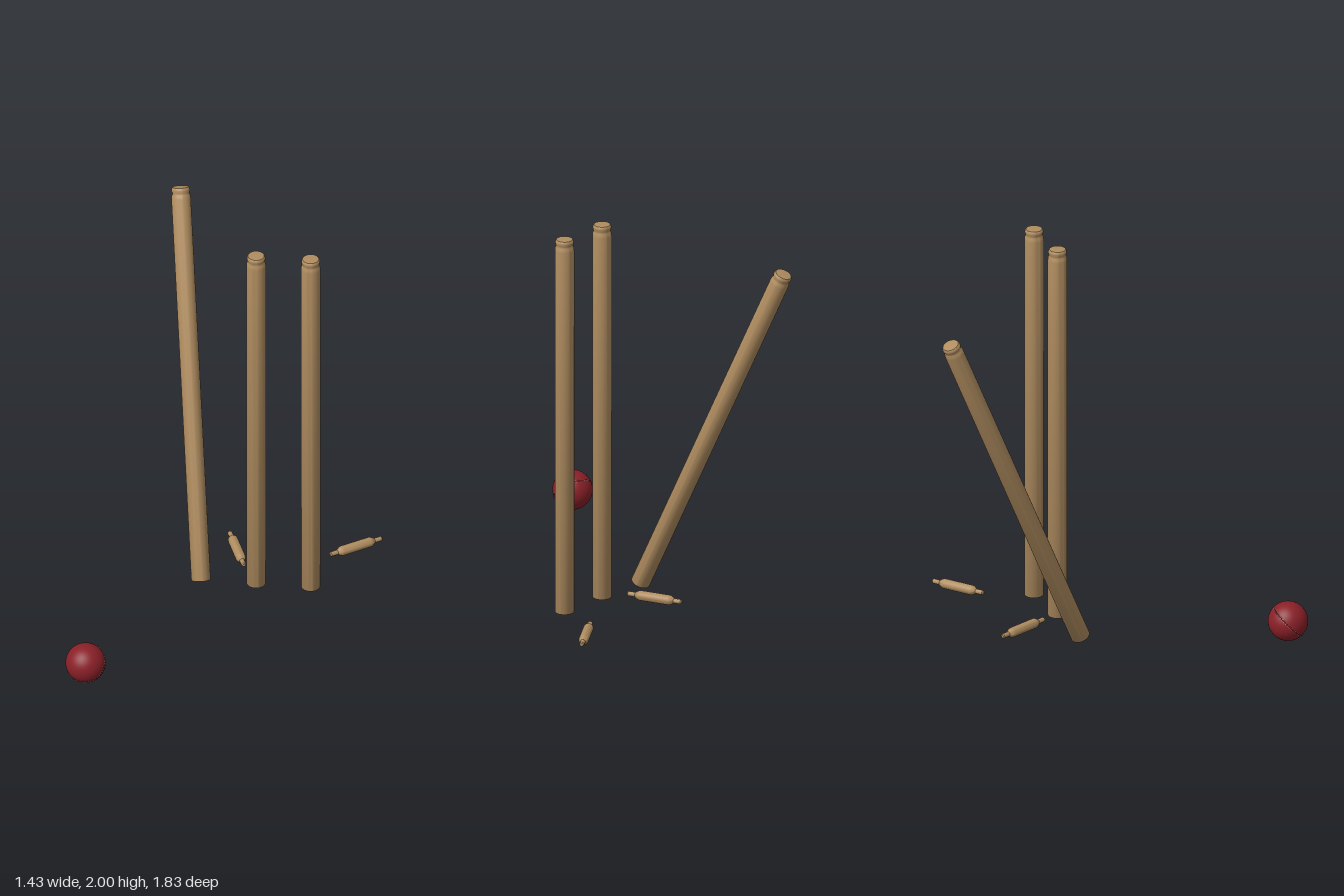
import * as THREE from 'three';
import { toCreasedNormals } from 'three/addons/utils/BufferGeometryUtils.js';

const wood = new THREE.MeshStandardMaterial({ color: 0xb08d60 });
const leather = new THREE.MeshStandardMaterial({ color: 0x8a2028 });
const thread = new THREE.MeshStandardMaterial({ color: 0xc8b8a0 });
const UP = new THREE.Vector3(0, 1, 0);

// Turned wooden part from [radius, height] pairs
function turned(profile, segments) {
  const points = profile.map(([r, y]) => new THREE.Vector2(r, y));
  return toCreasedNormals(new THREE.LatheGeometry(points, segments), 0.6);
}

// Place a part with its own y axis along a direction
function place(geometry, material, name, position, direction) {
  const mesh = new THREE.Mesh(geometry, material);
  mesh.name = name;
  mesh.position.set(...position);
  mesh.quaternion.setFromUnitVectors(UP, new THREE.Vector3(...direction).normalize());
  return mesh;
}

function createBall() {
  const ball = new THREE.Group();
  ball.name = 'ball';
  const body = new THREE.Mesh(new THREE.SphereGeometry(0.099, 48, 32), leather);
  body.name = 'ballBody';
  ball.add(body);

  // Raised seam around the equator
  const seam = new THREE.Mesh(new THREE.TorusGeometry(0.099, 0.0018, 8, 72), leather);
  seam.name = 'seam';
  seam.rotation.x = Math.PI / 2;
  ball.add(seam);

  // A row of stitches on each side of the seam
  const count = 48;
  const stitches = new THREE.InstancedMesh(new THREE.BoxGeometry(0.002, 0.0014, 0.006), thread, 1);
  for (const side of [-1, 1]) {
    for (let i = 0; i < count; i++) {
      const a = (i / count) * Math.PI * 2;
      const stitch = new THREE.Mesh(stitches.geometry, thread);
      stitch.name = 'stitch';
      stitch.position.set(Math.cos(a) * 0.099, side * 0.004, Math.sin(a) * 0.099);
      stitch.rotation.y = -a;
      ball.add(stitch);
    }
  }
  ball.position.set(-0.62, 0.125, 0.82);
  ball.quaternion.setFromUnitVectors(UP, new THREE.Vector3(-0.2, 0.69, 0.69).normalize());
  return ball;
}

export function createModel() {
  const model = new THREE.Group();
  model.name = 'brokenWicket';

  // Stumps: long shaft, grooved neck and rounded head
  const stump = turned([
    [0, 0], [0.046, 0], [0.048, 0.003], [0.048, 1.915], [0.046, 1.93], [0.042, 1.938],
    [0.042, 1.945], [0.045, 1.951], [0.046, 1.957], [0.045, 1.965], [0.04, 1.972], [0, 1.975],
  ], 32);
  model.add(
    place(stump, wood, 'middleStump', [0.13, 0.025, -0.08], [0, 1, 0]),
    place(stump, wood, 'leftStump', [0.4, 0.025, -0.08], [0, 1, 0]),
    place(stump, wood, 'leaningStump', [-0.143, 0.021, -0.083], [-0.182, 1.79, -0.79]),
  );

  // Bails: barrel with a thin spigot at each end, mirrored about the middle
  const half = [[0, 0.146], [0.008, 0.145], [0.012, 0.14], [0.012, 0.103], [0.016, 0.098], [0.024, 0.084], [0.025, 0.075]];
  const bail = turned([...half.map(([r, y]) => [r, -y]), ...half.slice().reverse()], 20);
  model.add(
    place(bail, wood, 'leftBail', [0.59, 0.05, -0.403], [0.24, 0, -0.165]),
    place(bail, wood, 'rightBail', [0.01, 0.05, -0.323], [0.1, 0, 0.275]),
  );

  model.add(createBall());
  return model;
}
